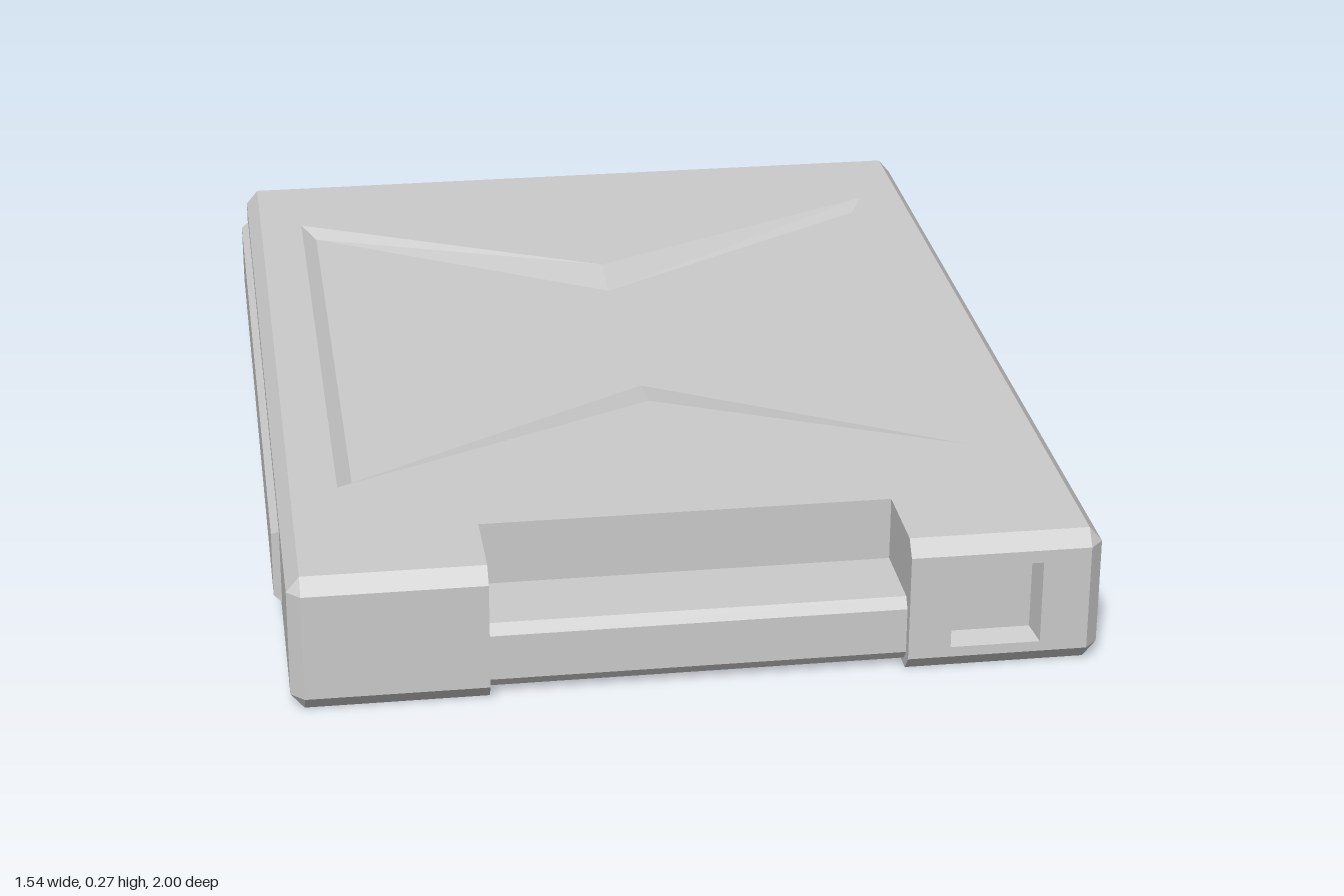
import * as THREE from 'three';

const material = new THREE.MeshStandardMaterial({ color: 0xcccccc, flatShading: true });
const HEIGHT = 0.27, CHAMFER = 0.03;

function mesh(name, geometry) {
  const m = new THREE.Mesh(geometry, material);
  m.name = name;
  return m;
}

// Strip of quads joining two rings of 3D points (counter-clockwise from outside)
function band(a, b, skip = -1) {
  const pos = [];
  a.forEach((p, i) => {
    if (i === skip) return;
    const j = (i + 1) % a.length;
    pos.push(...p, ...a[j], ...b[j], ...p, ...b[j], ...b[i]);
  });
  const g = new THREE.BufferGeometry();
  g.setAttribute('position', new THREE.Float32BufferAttribute(pos, 3));
  g.computeVertexNormals();
  return g;
}

const toShape = (pts) => new THREE.Shape(pts.map(([x, y]) => new THREE.Vector2(x, y)));
const atY = (pts, y) => pts.map(([x, z]) => [x, y, z]);
const atZ = (pts, z) => pts.map(([x, y]) => [x, y, z]);
const rect = (x0, y0, x1, y1) => [[x0, y0], [x1, y0], [x1, y1], [x0, y1]];

// Horizontal face from [x, z] points, looking up
function flat(pts, y, hole) {
  const flip = (list) => list.map(([x, z]) => [x, -z]);
  const s = toShape(flip(pts));
  if (hole) s.holes.push(toShape(flip(hole)));
  return new THREE.ShapeGeometry(s).rotateX(-Math.PI / 2).translate(0, y, 0);
}

// Mirror half an outline across x = 0, keeping the running direction
const mirrored = (half) => [...half, ...half.map(([x, z]) => [-x, z]).reverse()];

// Footprint at the walls, and the smaller one at the top and bottom faces
const wall = mirrored([[0.39, 0.81], [0.39, 1], [0.73, 1], [0.755, 0.975], [0.755, -0.96], [0.73, -0.985]]);
const rim = mirrored([[0.39, 0.81], [0.39, 0.975], [0.73, 0.975], [0.73, 0.975], [0.73, -0.96], [0.73, -0.96]]);
const rimFace = rim.filter((p, i) => i === 0 || p[0] !== rim[i - 1][0] || p[1] !== rim[i - 1][1]);

// Bow-tie sunken panel
const panelEdge = [[0.64, 0.62], [0.64, -0.73], [0, -0.41], [-0.64, -0.73], [-0.64, 0.62], [0, 0.31]];
const panelFloor = [[0.61, 0.57], [0.61, -0.68], [0, -0.3], [-0.61, -0.68], [-0.61, 0.57], [0, 0.2]];

function cover(name) {
  const g = new THREE.Group();
  const floorY = HEIGHT - 0.016;
  g.name = name;
  g.add(
    mesh('chamfer', band(atY(wall, HEIGHT - CHAMFER), atY(rim, HEIGHT))),
    mesh('face', flat(rimFace, HEIGHT, panelEdge)),
    mesh('panelSlopes', band(atY(panelEdge, HEIGHT), atY(panelFloor, floorY))),
    mesh('panelFloor', flat(panelFloor, floorY)),
  );
  return g;
}

// Raised bevelled plate of half width w, facing +z from its base
function plate(name, w) {
  const g = new THREE.Group();
  const top = rect(-w + 0.01, 0.07, w - 0.01, 0.2);
  g.name = name;
  g.add(
    mesh('plateBevel', band(atZ(rect(-w, 0.06, w, 0.21), 0), atZ(top, 0.015))),
    mesh('plateFace', new THREE.ShapeGeometry(toShape(top)).translate(0, 0, 0.015)),
  );
  return g;
}

export function createModel() {
  const model = new THREE.Group();
  model.name = 'flatCase';

  // Top and bottom covers
  const bottom = cover('bottomCover');
  bottom.rotation.z = Math.PI;
  bottom.position.y = HEIGHT;
  model.add(cover('topCover'), bottom);

  // Side walls; the front left one is made apart, with its square socket
  model.add(mesh('walls', band(atY(wall, CHAMFER), atY(wall, HEIGHT - CHAMFER), 1)));
  const socketEdge = rect(0.47, 0.05, 0.64, 0.215);
  const socketFloor = rect(0.48, 0.06, 0.63, 0.205);
  const front = toShape(rect(0.39, CHAMFER, 0.73, HEIGHT - CHAMFER));
  front.holes.push(toShape(socketEdge));
  model.add(
    mesh('frontLeftWall', new THREE.ShapeGeometry(front).translate(0, 0, 1)),
    mesh('socketSides', band(atZ(socketEdge, 1), atZ(socketFloor, 0.955))),
    mesh('socketFloor', new THREE.ShapeGeometry(toShape(socketFloor)).translate(0, 0, 0.955)),
  );

  // Low connector block in the front notch, profile in z and y
  const profile = toShape([[0.8, 0.015], [0.965, 0.015], [0.98, 0.035], [0.98, 0.125], [0.965, 0.145], [0.8, 0.145]]);
  const block = new THREE.ExtrudeGeometry(profile, { depth: 0.78, bevelEnabled: false });
  model.add(mesh('connectorBlock', block.rotateY(-Math.PI / 2).translate(0.39, 0, 0)));

  // Raised plates on both sides and the back
  for (const side of [1, -1]) {
    const strip = plate(side > 0 ? 'leftPlate' : 'rightPlate', 0.795);
    strip.rotation.y = side * Math.PI / 2;
    strip.position.set(side * 0.755, 0, -0.125);
    model.add(strip);
  }
  const back = plate('backPlate', 0.7);
  back.rotation.y = Math.PI;
  back.position.z = -0.985;
  model.add(back);

  return model;
}
